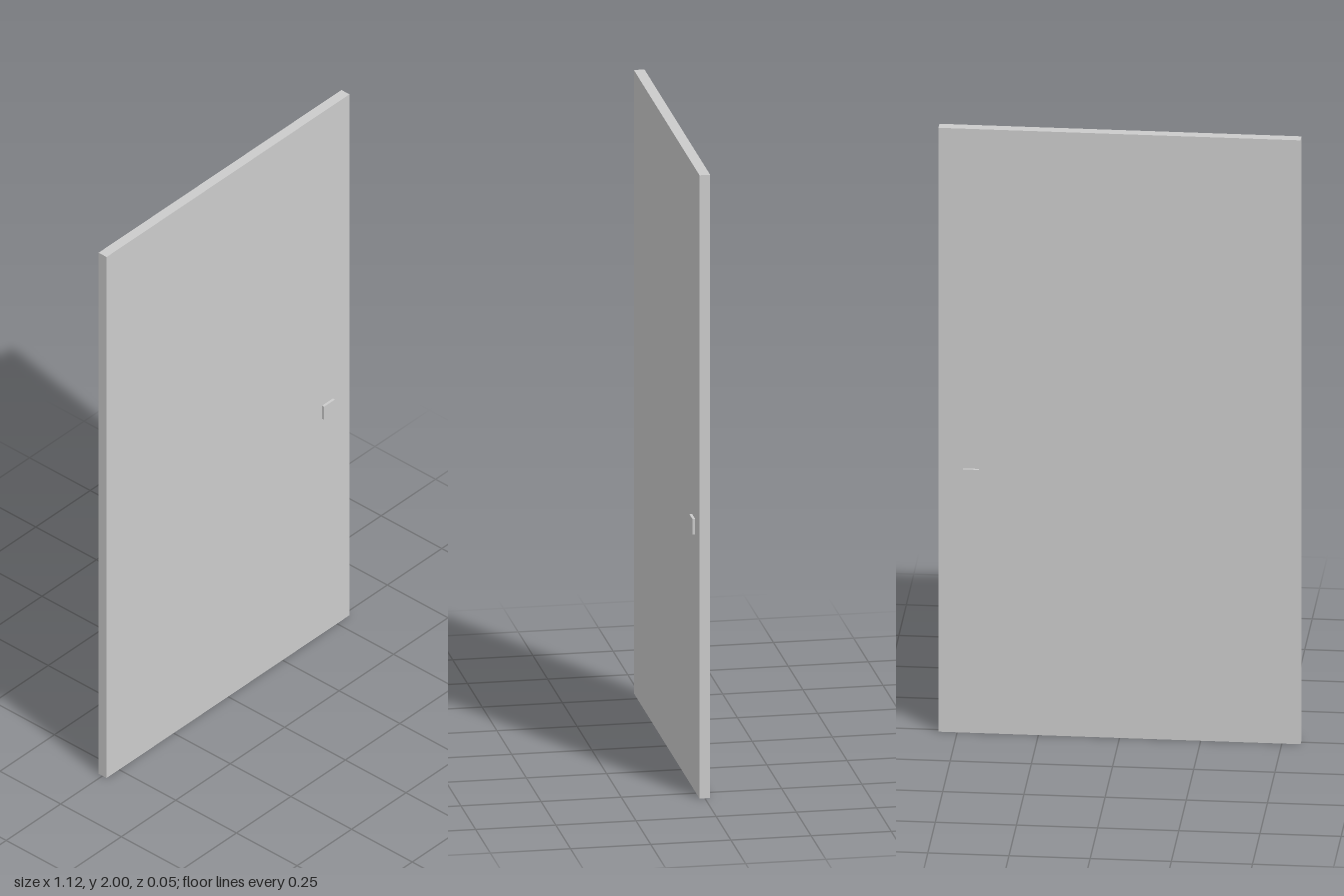
import * as THREE from 'three';

export function createModel() {
  const model = new THREE.Group();
  const material = new THREE.MeshStandardMaterial({ color: 0xcccccc });

  const addBox = (name, size, position) => {
    const mesh = new THREE.Mesh(new THREE.BoxGeometry(...size), material);
    mesh.name = name;
    mesh.position.set(...position);
    model.add(mesh);
  };

  // Plain slab door
  addBox('doorPanel', [1.115, 2, 0.033], [0, 1, 0]);

  // Square knob passing through the panel, showing on both faces
  addBox('knob', [0.05, 0.05, 0.05], [0.457, 0.85, 0]);

  return model;
}
